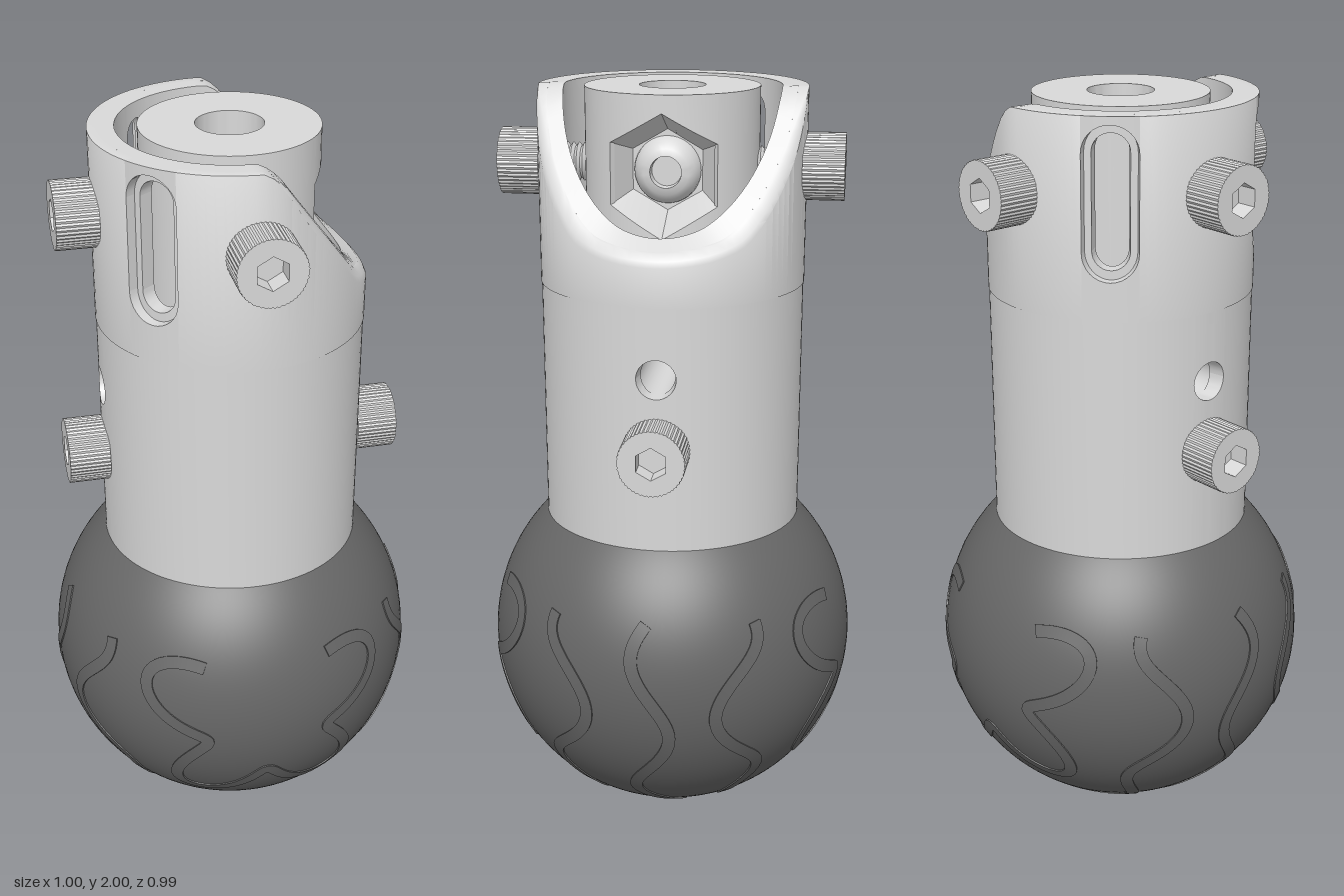
import * as THREE from 'three';
import { toCreasedNormals } from 'three/addons/utils/BufferGeometryUtils.js';

const metal = new THREE.MeshStandardMaterial({ color: 0xd9d9d9, side: THREE.DoubleSide });
metal.name = 'light grey metal';
const rubber = new THREE.MeshStandardMaterial({ color: 0x666666, side: THREE.DoubleSide });
rubber.name = 'dark grey rubber';

const V = (x, y, z) => new THREE.Vector3(x, y, z);

function add(parent, name, geometry, material) {
  const mesh = new THREE.Mesh(geometry, material);
  mesh.name = name;
  parent.add(mesh);
  return mesh;
}

// Skin a row of closed loops, with a fan cap on the first and, if wanted, the last
function loft(rings, crease = 0.6, capLast = true) {
  const pos = [];
  const tri = (...p) => p.forEach((v) => pos.push(v.x, v.y, v.z));
  for (let i = 0; i < rings.length - 1; i++) {
    const A = rings[i], B = rings[i + 1];
    A.forEach((a, j) => {
      const k = (j + 1) % A.length;
      tri(a, A[k], B[k]);
      tri(a, B[k], B[j]);
    });
  }
  const first = rings[0], last = rings[rings.length - 1];
  for (let j = 1; j < first.length - 1; j++) {
    tri(first[0], first[j + 1], first[j]);
    if (capLast) tri(last[0], last[j], last[j + 1]);
  }
  const g = new THREE.BufferGeometry();
  g.setAttribute('position', new THREE.Float32BufferAttribute(pos, 3));
  g.computeVertexNormals();
  return toCreasedNormals(g, crease);
}

// Round wall with openings; a hole is { a: angle, w: half width, y0, y1, dy(u) }
function wall(parent, name, { rIn, rOut, lo, hi, lip = 0, holes }) {
  const band = (angles, low, high, round) => {
    const rings = angles.map((t) => {
      const c = Math.max(0.0003, round * Math.min(1, Math.max(0, Math.cos(t)) * 3));
      const yo = high(t, rOut), l = low(t);
      const section = [[rIn, l], [rOut, l]];
      if (round) section.push([rOut, yo - c], [rOut - c * 0.3, yo - c * 0.3], [rOut - c, high(t, rOut - c)]);
      else section.push([rOut, yo]);
      section.push([rIn, high(t, rIn)]);
      return section.map(([r, y]) => V(r * Math.cos(t), y, r * Math.sin(t)));
    });
    add(parent, name, loft(rings), metal);
  };
  const top = (t, r) => hi(r * Math.cos(t));
  holes.forEach((h, i) => {
    const half = Math.asin(h.w / rOut);
    const next = holes[(i + 1) % holes.length];
    const start = h.a + half;
    const end = next.a - Math.asin(next.w / rOut) + (i === holes.length - 1 ? Math.PI * 2 : 0);
    const n = Math.ceil((end - start) / (Math.PI / 48));
    band(Array.from({ length: n + 1 }, (_, k) => start + (end - start) * k / n), () => lo, top, lip);
    // below and above the opening
    const inHole = Array.from({ length: 17 }, (_, k) => h.a + Math.asin(h.w * Math.sin((k / 8 - 1) * Math.PI / 2) / rOut));
    const dy = (t) => h.dy(Math.min(h.w, Math.abs(rOut * Math.sin(t - h.a))));
    band(inHole, () => lo, (t) => h.y0 - dy(t), 0);
    band(inHole, (t) => h.y1 + dy(t), top, 0);
  });
}
const slot = (a, w, y0, y1) => ({ a, w, y0, y1, dy: (u) => Math.sqrt(Math.max(0, w * w - u * u)) });

// Slanting top edge of the sleeve
const EDGE = [[0, 2], [0.03, 1.985], [0.06, 1.955], [0.1, 1.9], [0.2, 1.765], [0.26, 1.682], [0.28, 1.66], [0.32, 1.635], [0.347, 1.622]];
function edgeHeight(x) {
  if (x <= 0) return 2;
  const i = Math.max(1, EDGE.findIndex((p) => x <= p[0] + 1e-6));
  const [x0, y0] = EDGE[i - 1], [x1, y1] = EDGE[i];
  return y0 + (y1 - y0) * (x - x0) / (x1 - x0);
}

// Knurled socket-head screw pointing along +z
function screw(parent, name, y, angle, threaded) {
  const g = new THREE.Group();
  g.name = name;
  const shape = new THREE.Shape();
  for (let i = 0; i < 96; i++) {
    const a = i * Math.PI / 48, r = i % 2 ? 0.0865 : 0.084;
    shape[i ? 'lineTo' : 'moveTo'](r * Math.cos(a), r * Math.sin(a));
  }
  const hex = new THREE.Path();
  for (let i = 0; i < 6; i++) {
    const a = i * Math.PI / 3 + Math.PI / 6;
    hex[i ? 'lineTo' : 'moveTo'](0.043 * Math.cos(a), 0.043 * Math.sin(a));
  }
  shape.holes.push(hex);
  add(g, 'screwHead', new THREE.ExtrudeGeometry(shape, { depth: 0.107, bevelEnabled: false }), metal).position.z = 0.338;
  add(g, 'socketFloor', new THREE.CircleGeometry(0.06, 24), metal).position.z = 0.39;
  if (threaded) {
    const pts = [];
    for (let i = 0; i <= 16; i++) pts.push(new THREE.Vector2(i % 2 ? 0.05 : 0.041, 0.222 + i * 0.0075));
    add(g, 'screwThread', toCreasedNormals(new THREE.LatheGeometry(pts, 24).rotateX(Math.PI / 2), 0.5), metal);
  }
  g.position.y = y;
  g.rotation.y = angle;
  parent.add(g);
}

// Wavy raised band wrapping under the ball
function waveBand(parent, c) {
  const girth = Math.sqrt(0.25 - c * c);
  const reach = Math.acos(-0.2 / girth), n = 150;
  const waves = 2 + 10 * girth;
  const centre = (p) => {
    const z = c + 0.05 * Math.cos(waves * p) * (c < 0 ? -1 : 1);
    const r = Math.sqrt(0.25 - z * z);
    return V(r * Math.sin(p), -r * Math.cos(p), z);
  };
  const rings = [];
  for (let i = 0; i <= n; i++) {
    const p = -reach + 2 * reach * i / n;
    const out = centre(p).normalize();
    const along = centre(p + 0.005).sub(centre(p - 0.005)).normalize();
    const side = along.cross(out).normalize();
    rings.push([[1, 0.49], [1, 0.5], [-1, 0.5], [-1, 0.49]].map(([s, r]) =>
      out.clone().addScaledVector(side, s * 0.034).normalize().multiplyScalar(r)));
  }
  add(parent, 'waveBand', loft(rings, 0.7), rubber).position.y = 0.5;
}

export function createModel() {
  const model = new THREE.Group();
  model.name = 'ballFoot';

  // Ball with its wavy tread
  const cut = Math.acos(0.36 / 0.4965);
  add(model, 'ball', new THREE.SphereGeometry(0.4965, 96, 64, 0, Math.PI * 2, cut, Math.PI - cut), rubber).position.y = 0.5;
  [-0.42, -0.22, 0, 0.22, 0.42].forEach((c) => waveBand(model, c));

  // Lower body with a cross hole
  wall(model, 'lowerBody', {
    rIn: 0.3, rOut: 0.345, lo: 0.858, hi: () => 1.5,
    holes: [0, Math.PI].map((a) => slot(a, 0.051, 1.317, 1.317)),
  });
  const tunnel = add(model, 'crossHole', new THREE.CylinderGeometry(0.051, 0.051, 0.66, 32, 1, true).rotateZ(Math.PI / 2), metal);
  tunnel.position.y = 1.317;
  add(model, 'bodyFloor', new THREE.CircleGeometry(0.335, 64).rotateX(-Math.PI / 2), metal).position.y = 1.502;

  // Sleeve in two layers, so the side slots are stepped
  [[0.28, 0.32, 0.047, 0], [0.32, 0.347, 0.07, 0.022]].forEach(([rIn, rOut, w, lip]) =>
    wall(model, 'sleeve', {
      rIn, rOut, lo: 1.5, hi: edgeHeight, lip,
      holes: [0.75, 1.25].map((a) => slot(a * Math.PI, w, 1.67, 1.91)),
    }));

  // Core post with a bore and a tapered hexagonal pocket
  const R = 0.155, W = R * Math.sqrt(3) / 2;
  wall(model, 'core', {
    rIn: 0.21, rOut: 0.225, lo: 1.5, hi: () => 2,
    holes: [{ a: 0, w: W, y0: 1.8, y1: 1.8, dy: (u) => R - u / Math.sqrt(3) }],
  });
  const bore = [[0, 1.62], [0.04, 1.62], [0.042, 1.63], [0.085, 1.63], [0.085, 2], [0.223, 2]];
  add(model, 'coreBore', toCreasedNormals(new THREE.LatheGeometry(bore.map((p) => new THREE.Vector2(...p)), 64), 0.5), metal);

  const rim = [], floor = [], steps = 8;
  const corner = (k) => V(0, R * Math.cos(k * Math.PI / 3), R * Math.sin(k * Math.PI / 3));
  for (let i = 0; i < 6 * steps; i++) {
    const s = Math.floor(i / steps);
    const p = corner(s).lerp(corner(s + 1), (i % steps) / steps);
    rim.push(V(Math.sqrt(0.225 ** 2 - p.z * p.z), 1.8 + p.y, p.z));
    floor.push(V(0.1, 1.8 + p.y * 0.66, p.z * 0.66));
  }
  add(model, 'hexPocket', loft([floor, rim], 0.4, false), metal);

  // Button screw across the core
  const dome = (name, x, turn) => {
    const pts = [[0.085, 0], [0.083, 0.012], [0.072, 0.03], [0.058, 0.042], [0.04, 0.046], [0.038, 0.02], [0, 0.02]];
    const g = new THREE.LatheGeometry(pts.map((p) => new THREE.Vector2(...p)), 40).rotateZ(turn);
    add(model, name, toCreasedNormals(g, 0.6), metal).position.set(x, 1.8, 0);
  };
  dome('pocketScrew', 0.1, -Math.PI / 2);
  dome('boreScrew', -0.04, Math.PI / 2);
  add(model, 'boreScrewBack', new THREE.CircleGeometry(0.08, 32).rotateY(Math.PI / 2), metal).position.set(-0.04, 1.8, 0);

  // Clamping screws
  [0, Math.PI, -Math.PI / 2].forEach((a) => screw(model, 'upperScrew', 1.8, a, true));
  [Math.PI / 2, -Math.PI / 2].forEach((a) => screw(model, 'lowerScrew', 1.13, a, false));
  return model;
}
